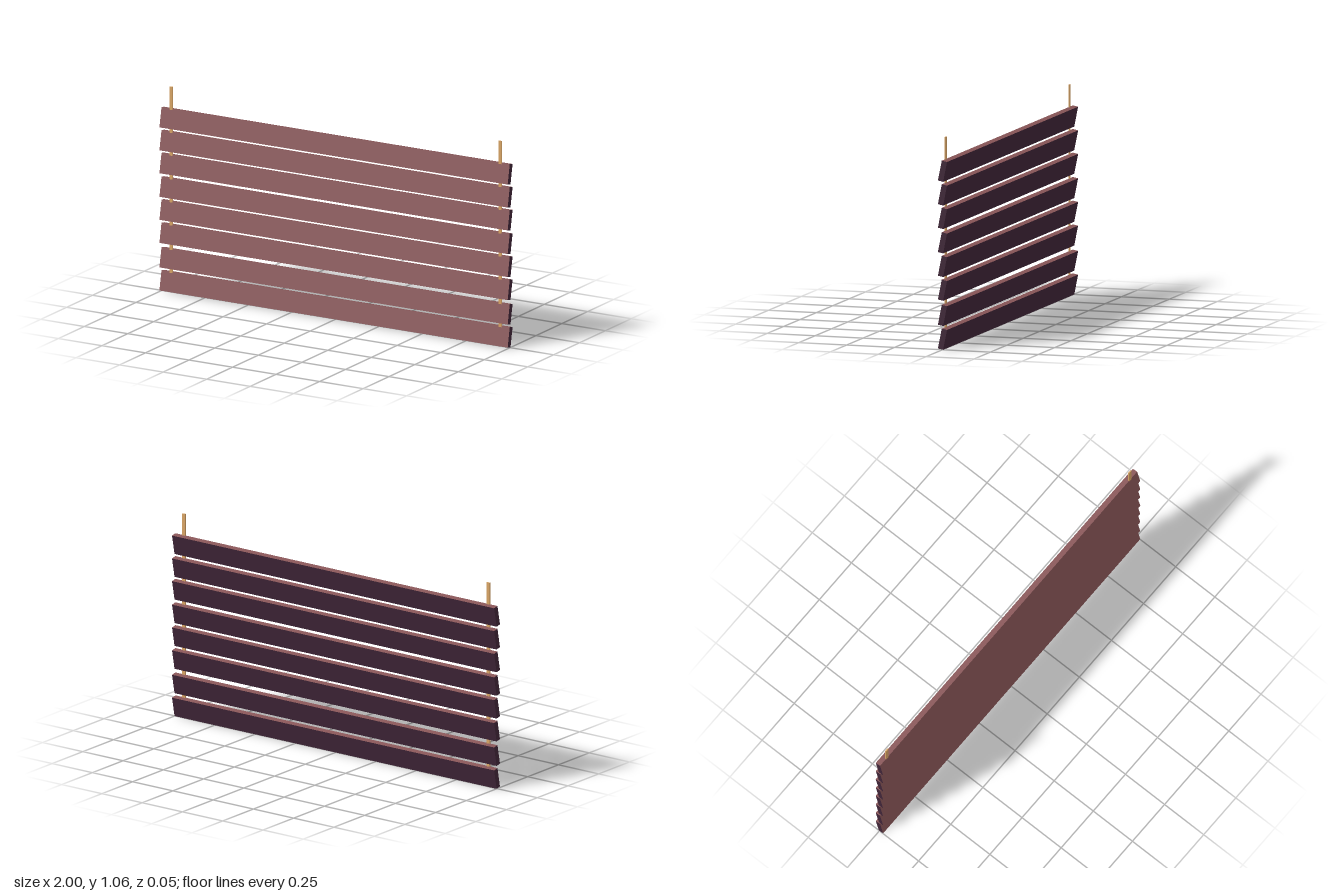
import * as THREE from 'three';

export function createModel() {
  const model = new THREE.Group();
  const makeMaterial = (name, color) => {
    const material = new THREE.MeshStandardMaterial({ color });
    material.name = name;
    return material;
  };
  const paint = makeMaterial('dusty rose paint', 0x885557);
  const darkWood = makeMaterial('dark plum wood', 0x402538);
  const cordMaterial = makeMaterial('tan cord', 0xd9a566);

  // Tilted slats, lower edge forward; top and front rose, ends, underside and back plum
  const slatGeometry = new THREE.BoxGeometry(2, 0.102, 0.028);
  const slatMaterials = [darkWood, darkWood, paint, darkWood, paint, darkWood];
  const slatHeights = [0.0527, 0.171, 0.297, 0.4155, 0.5335, 0.655, 0.7725, 0.8905];
  for (const y of slatHeights) {
    const slat = new THREE.Mesh(slatGeometry, slatMaterials);
    slat.name = 'slat';
    slat.position.y = y;
    slat.rotation.x = -0.2;
    model.add(slat);
  }

  // Flat cords threaded through the slats near both ends
  const bottom = 0.03, top = 1.055;
  const cordGeometry = new THREE.BoxGeometry(0.018, top - bottom, 0.006);
  for (const side of [-1, 1]) {
    const cord = new THREE.Mesh(cordGeometry, cordMaterial);
    cord.name = side > 0 ? 'leftCord' : 'rightCord';
    cord.position.set(side * 0.945, (top + bottom) / 2, 0.002);
    model.add(cord);
  }
  return model;
}
